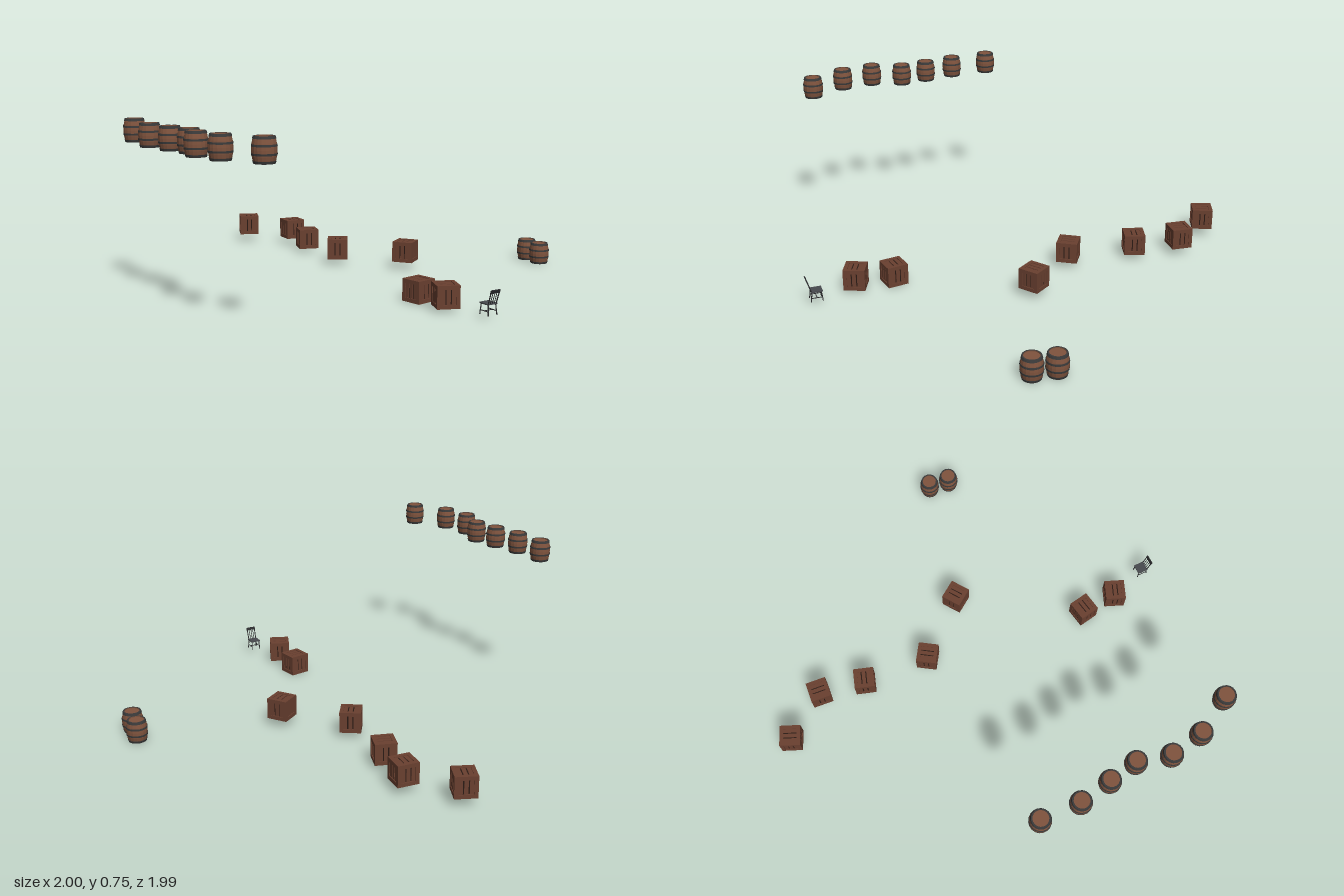
import * as THREE from 'three';

const paint = (color) => new THREE.MeshStandardMaterial({ color, flatShading: true });
const WOOD = paint(0x6a4030), DARK = paint(0x2a1a14), STAVE = paint(0x80543e);
const IRON = paint(0x3a3a3a), BLACK = paint(0x2c2c2e), SEAT = paint(0x484a4e);

function add(parent, name, geometry, material, x = 0, y = 0, z = 0) {
  const mesh = new THREE.Mesh(geometry, material);
  mesh.name = name;
  mesh.position.set(x, y, z);
  parent.add(mesh);
  return mesh;
}
const box = (w, h, d) => new THREE.BoxGeometry(w, h, d);

// One crate side facing +z: a frame around three boards with dark gaps
function crateSide(S) {
  const side = new THREE.Group();
  side.name = 'crateSide';
  const f = 0.017, t = 0.006, inner = S - 2 * f;
  for (const s of [-1, 1]) {
    add(side, 'framePost', box(f, S, t), WOOD, s * (S - f) / 2, 0, S / 2 - t / 2);
    add(side, 'frameRail', box(inner, f, t), WOOD, 0, s * (S - f) / 2, S / 2 - t / 2);
  }
  const gap = 0.005, w = (inner - 2 * gap) / 3;
  for (let i = -1; i <= 1; i++) {
    add(side, 'board', box(w, inner, 0.003), WOOD, i * (w + gap), 0, S / 2 - 0.0045);
  }
  return side;
}

// Crate standing on its own origin
function makeCrate(S = 0.096) {
  const crate = new THREE.Group();
  crate.name = 'crate';
  add(crate, 'core', box(S - 0.012, S - 0.012, S - 0.012), DARK, 0, S / 2, 0);
  const turns = [[0, 0], [0, 1], [0, 2], [0, 3], [1, 0], [-1, 0]];
  for (const [rx, ry] of turns) {
    const side = crateSide(S);
    side.rotation.set(rx * Math.PI / 2, ry * Math.PI / 2, 0);
    side.position.y = S / 2;
    crate.add(side);
  }
  return crate;
}

// Barrel: bulging staves with recessed lids, and four iron hoops
function makeBarrel() {
  const barrel = new THREE.Group();
  barrel.name = 'barrel';
  const H = 0.098, N = 18;
  const radius = (y) => 0.0465 - 0.008 * ((y - H / 2) / (H / 2)) ** 2;
  const wall = [];
  for (let i = 0; i <= 8; i++) wall.push(new THREE.Vector2(radius(H * i / 8), H * i / 8));
  const profile = [
    new THREE.Vector2(0, 0.004), new THREE.Vector2(0.034, 0.004), new THREE.Vector2(0.034, 0),
    ...wall,
    new THREE.Vector2(0.034, H), new THREE.Vector2(0.034, H - 0.004), new THREE.Vector2(0, H - 0.004),
  ];
  add(barrel, 'staves', new THREE.LatheGeometry(profile, N), STAVE);
  for (const [y, h] of [[0.005, 0.010], [0.033, 0.008], [H - 0.033, 0.008], [H - 0.005, 0.010]]) {
    const a = y - h / 2, b = y + h / 2, o = 0.0016;
    const hoop = [
      new THREE.Vector2(radius(a) - 0.005, a), new THREE.Vector2(radius(a) + o, a),
      new THREE.Vector2(radius(b) + o, b), new THREE.Vector2(radius(b) - 0.005, b),
    ];
    // end hoops stand just proud of the rims
    const mesh = add(barrel, 'hoop', new THREE.LatheGeometry(hoop, N), IRON);
    if (y < 0.01) mesh.position.y = -0.0005;
    if (y > H - 0.01) mesh.position.y = 0.0005;
  }
  return barrel;
}

// Round bar between two points
function bar(parent, name, a, b, r = 0.002) {
  const p = new THREE.Vector3(...a), q = new THREE.Vector3(...b);
  const mesh = add(parent, name, new THREE.CylinderGeometry(r, r, p.distanceTo(q), 6), BLACK);
  mesh.position.copy(p).add(q).multiplyScalar(0.5);
  mesh.quaternion.setFromUnitVectors(new THREE.Vector3(0, 1, 0), q.sub(p).normalize());
}

// Chair facing -x with a leaning spindle back
function makeChair() {
  const chair = new THREE.Group();
  chair.name = 'chair';
  const seatY = 0.046;
  add(chair, 'seat', box(0.05, 0.005, 0.048), SEAT, -0.009, seatY, 0);
  for (const s of [-1, 1]) {
    bar(chair, 'frontLeg', [-0.033, 0, s * 0.022], [-0.028, seatY, s * 0.019], 0.0023);
    bar(chair, 'backLeg', [0.018, 0, s * 0.022], [0.012, seatY, s * 0.019], 0.0023);
    bar(chair, 'sideStretcher', [-0.031, 0.017, s * 0.021], [0.016, 0.017, s * 0.021], 0.0018);
    bar(chair, 'backPost', [0.014, seatY, s * 0.02], [0.033, 0.105, s * 0.021], 0.0025);
  }
  bar(chair, 'crossStretcher', [-0.008, 0.017, -0.021], [-0.008, 0.017, 0.021], 0.0018);
  for (let i = -1; i <= 1; i++) {
    bar(chair, 'spindle', [0.014, seatY, i * 0.01], [0.031, 0.1, i * 0.01], 0.0016);
  }
  const rail = add(chair, 'topRail', box(0.005, 0.014, 0.046), BLACK, 0.031, 0.099, 0);
  rail.rotation.z = -0.31;
  return chair;
}

export function createModel() {
  const model = new THREE.Group();
  model.name = 'scatteredProps';

  // Crates: x, base y, z, turn in degrees
  const crates = [
    [0.585, 0.002, 0.056, 0], [0.757, 0.016, 0.08, -32], [0.104, 0.036, -0.356, 25],
    [-0.184, 0.03, -0.184, 47], [-0.5, 0.024, -0.259, -28], [-0.709, 0.037, -0.332, 75],
    [-0.938, 0.042, -0.219, 57],
  ];
  for (const [x, y, z, turn] of crates) {
    const crate = makeCrate();
    crate.position.set(x, y, z);
    crate.rotation.y = THREE.MathUtils.degToRad(turn);
    model.add(crate);
  }

  // Barrels: two low at the back, a high row at the front
  const barrels = [
    [0.36, 0.001, -0.953], [0.457, 0.001, -0.924],
    [-0.317, 0.653, 0.845], [-0.14, 0.647, 0.882], [0.009, 0.645, 0.882], [0.143, 0.645, 0.882],
    [0.28, 0.648, 0.944], [0.435, 0.648, 0.944], [0.612, 0.648, 0.882],
  ];
  for (const [x, y, z] of barrels) {
    const barrel = makeBarrel();
    barrel.position.set(x, y, z);
    model.add(barrel);
  }

  const chair = makeChair();
  chair.position.set(0.961, 0.017, 0.05);
  chair.rotation.y = -0.17;
  model.add(chair);
  return model;
}
